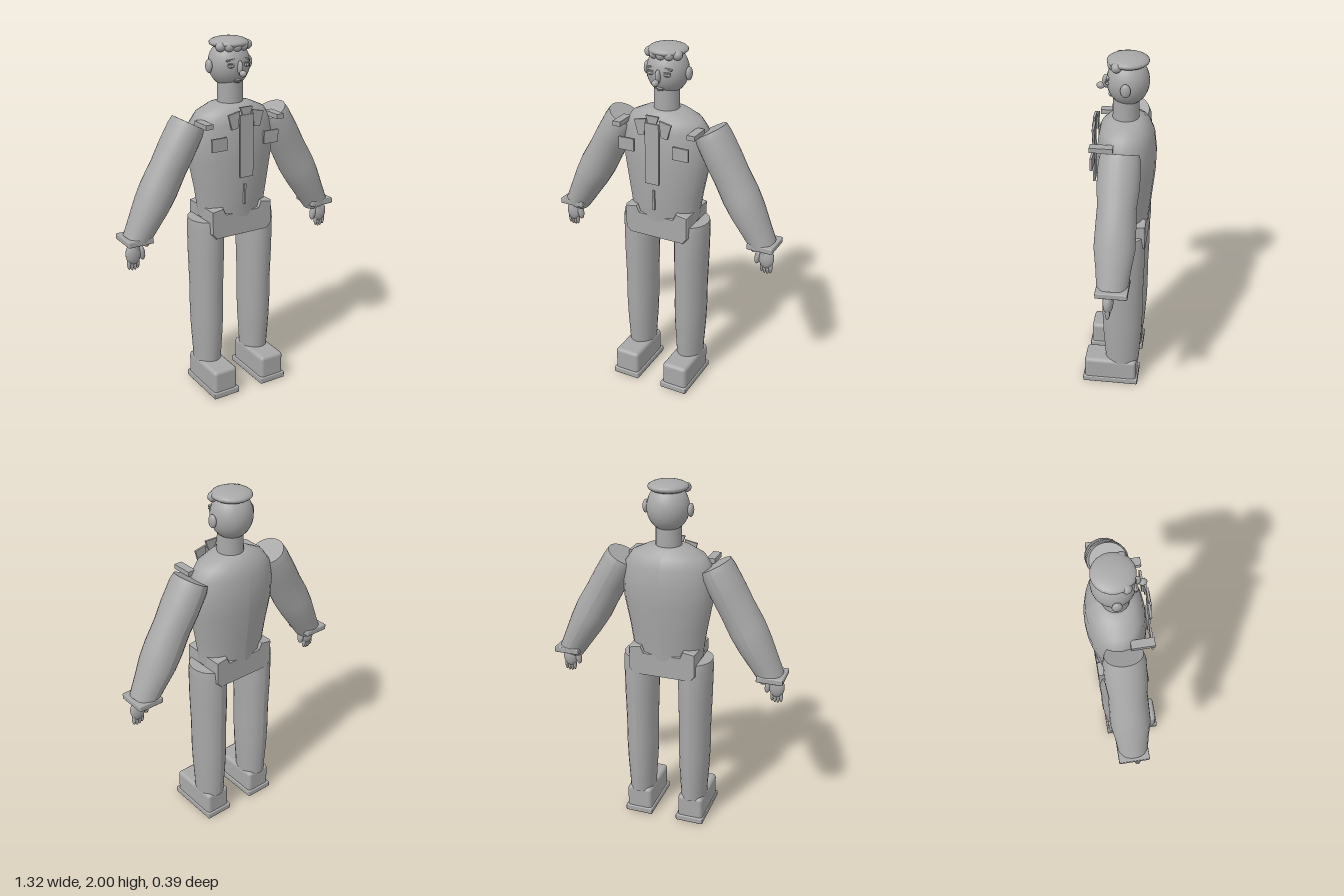
import * as THREE from 'three';
import { RoundedBoxGeometry } from 'three/addons/geometries/RoundedBoxGeometry.js';

export function createModel() {
  const model = new THREE.Group();
  const grey = new THREE.MeshStandardMaterial({ color: 0xa8a8a8 });
  grey.name = 'plain grey';

  function add(name, geometry, x = 0, y = 0, z = 0, rz = 0, rx = 0) {
    const mesh = new THREE.Mesh(geometry, grey);
    mesh.name = name;
    mesh.position.set(x, y, z);
    mesh.rotation.set(rx, 0, rz);
    model.add(mesh);
    return mesh;
  }
  const box = (w, h, d) => new THREE.BoxGeometry(w, h, d);
  const ball = (rx, ry, rz, n = 16) => new THREE.SphereGeometry(1, n, Math.ceil(n * 0.7)).scale(rx, ry, rz);

  // Closed elliptical body through rows of [y, half width, half depth, z], top first
  function loft(rows, sides = 24) {
    const n = rows.length - 1;
    const g = new THREE.CylinderGeometry(1, 1, 1, sides, n, false, Math.PI);
    const p = g.attributes.position;
    for (let i = 0; i < p.count; i++) {
      const [y, rx, rz, z = 0] = rows[Math.round((0.5 - p.getY(i)) * n)];
      p.setXYZ(i, p.getX(i) * rx, y, p.getZ(i) * rz + z);
    }
    g.computeVertexNormals();
    return g;
  }

  // Torso and neck
  add('torso', loft([
    [1.66, 0.08, 0.075, -0.03], [1.65, 0.125, 0.1, -0.03], [1.615, 0.2, 0.13, -0.03],
    [1.56, 0.238, 0.147, -0.035], [1.46, 0.252, 0.158, -0.035], [1.36, 0.247, 0.157, -0.033],
    [1.2, 0.217, 0.146, -0.027], [1.1, 0.202, 0.135, -0.027], [1.04, 0.198, 0.13, -0.027]]));
  add('neck', new THREE.CylinderGeometry(0.068, 0.07, 0.16, 20), 0, 1.72, -0.03);

  // Head, hair and face
  add('head', ball(0.113, 0.125, 0.11, 24), 0, 1.86, -0.04);
  add('hairCap', ball(0.106, 0.032, 0.108, 20), 0, 1.968, -0.04);
  for (const [x, y, z] of [[-0.08, 1.957, 0.01], [-0.042, 1.956, 0.032], [0, 1.955, 0.04], [0.042, 1.956, 0.032], [0.08, 1.957, 0.01]])
    add('hairCurl', ball(0.027, 0.026, 0.027, 12), x, y, z);
  add('noseBridge', ball(0.014, 0.038, 0.02, 12), 0, 1.85, 0.072);
  add('noseTip', ball(0.018, 0.018, 0.022, 12), 0, 1.825, 0.1);
  add('upperLip', ball(0.024, 0.006, 0.01, 12), 0, 1.783, 0.05);
  add('lowerLip', ball(0.018, 0.006, 0.01, 12), 0, 1.774, 0.046);

  // Shirt front
  add('tie', box(0.08, 0.34, 0.012), 0, 1.45, 0.137);
  const knot = new THREE.Shape([[-0.038, 0.045], [0.038, 0.045], [0.014, -0.02], [-0.014, -0.02]].map(p => new THREE.Vector2(...p)));
  add('tieKnot', new THREE.ExtrudeGeometry(knot, { depth: 0.012, bevelEnabled: false }), 0, 1.615, 0.125);
  add('frontSeam', box(0.012, 0.115, 0.012), 0, 1.178, 0.122);

  // Pelvis block with raised ends
  const hips = new THREE.Shape([[-0.16, 0.94], [0.16, 0.94], [0.185, 0.97], [0.185, 1.095], [0.122, 1.105],
    [0.105, 1.068], [-0.105, 1.068], [-0.122, 1.105], [-0.185, 1.095], [-0.185, 0.97]].map(p => new THREE.Vector2(...p)));
  add('pelvis', new THREE.ExtrudeGeometry(hips, {
    depth: 0.235, bevelThickness: 0.01, bevelSize: 0.005, bevelSegments: 1 }), 0, 0, -0.145);

  const armShape = loft([
    [0.34, 0.09, 0.098], [0.3, 0.095, 0.108], [0.18, 0.098, 0.109], [0.08, 0.098, 0.1],
    [-0.04, 0.102, 0.104], [-0.13, 0.095, 0.106], [-0.24, 0.082, 0.09], [-0.34, 0.07, 0.08]]);
  const legShape = loft([
    [1.03, 0.094, 0.112], [0.98, 0.097, 0.12], [0.8, 0.094, 0.121], [0.62, 0.089, 0.115],
    [0.47, 0.089, 0.115], [0.35, 0.085, 0.111], [0.22, 0.077, 0.102], [0.15, 0.074, 0.097]]);

  // Paired parts
  for (const s of [-1, 1]) {
    const side = s > 0 ? 'left' : 'right';
    add(side + 'Ear', ball(0.016, 0.036, 0.026), s * 0.122, 1.855, -0.04);
    add(side + 'Eye', ball(0.02, 0.011, 0.012, 12), s * 0.046, 1.862, 0.058);
    add(side + 'Pupil', ball(0.007, 0.007, 0.006, 10), s * 0.046, 1.862, 0.069);
    add(side + 'UpperLid', box(0.038, 0.006, 0.012), s * 0.046, 1.873, 0.063);
    add(side + 'Brow', box(0.045, 0.008, 0.014), s * 0.048, 1.892, 0.055, s * -0.15);

    // Collar flap, chest pocket and shoulder tab
    const flap = new THREE.Shape([[0.038, 1.64], [0.108, 1.625], [0.085, 1.545], [0.05, 1.55]].map(([x, y]) => new THREE.Vector2(s * x, y)));
    add(side + 'Collar', new THREE.ExtrudeGeometry(flap, { depth: 0.012, bevelEnabled: false }), 0, 0, 0.122);
    add(side + 'Pocket', box(0.09, 0.07, 0.012), s * 0.16, 1.476, 0.126);
    add(side + 'ShoulderTab', box(0.045, 0.026, 0.12), s * 0.218, 1.578, 0.07);

    // Arm, cuff and hand
    add(side + 'Arm', armShape, s * 0.42, 1.277, -0.03, s * 0.506);
    add(side + 'Cuff', new RoundedBoxGeometry(0.145, 0.033, 0.165, 1, 0.006), s * 0.587, 0.991, -0.033);
    add(side + 'Wrist', new THREE.CylinderGeometry(0.028, 0.028, 0.06, 14), s * 0.6, 0.965, -0.015);
    add(side + 'Palm', ball(0.043, 0.06, 0.028), s * 0.61, 0.915, -0.012);
    add(side + 'Thumb', ball(0.018, 0.045, 0.02, 12), s * 0.562, 0.915, -0.01, s * -0.15);
    [0.637, 0.62, 0.603, 0.587].forEach((x, i) =>
      add(side + 'Finger', ball(0.01, 0.036, 0.013, 10), s * x, i % 3 ? 0.857 : 0.864, -0.012));

    // Leg and shoe
    add(side + 'Leg', legShape, s * 0.158, 0, -0.032);
    add(side + 'Shoe', new RoundedBoxGeometry(0.15, 0.15, 0.305, 2, 0.022), s * 0.157, 0.09, 0.033);
    add(side + 'Sole', new RoundedBoxGeometry(0.164, 0.036, 0.325, 1, 0.006), s * 0.156, 0.018, 0.033);
  }
  return model;
}
